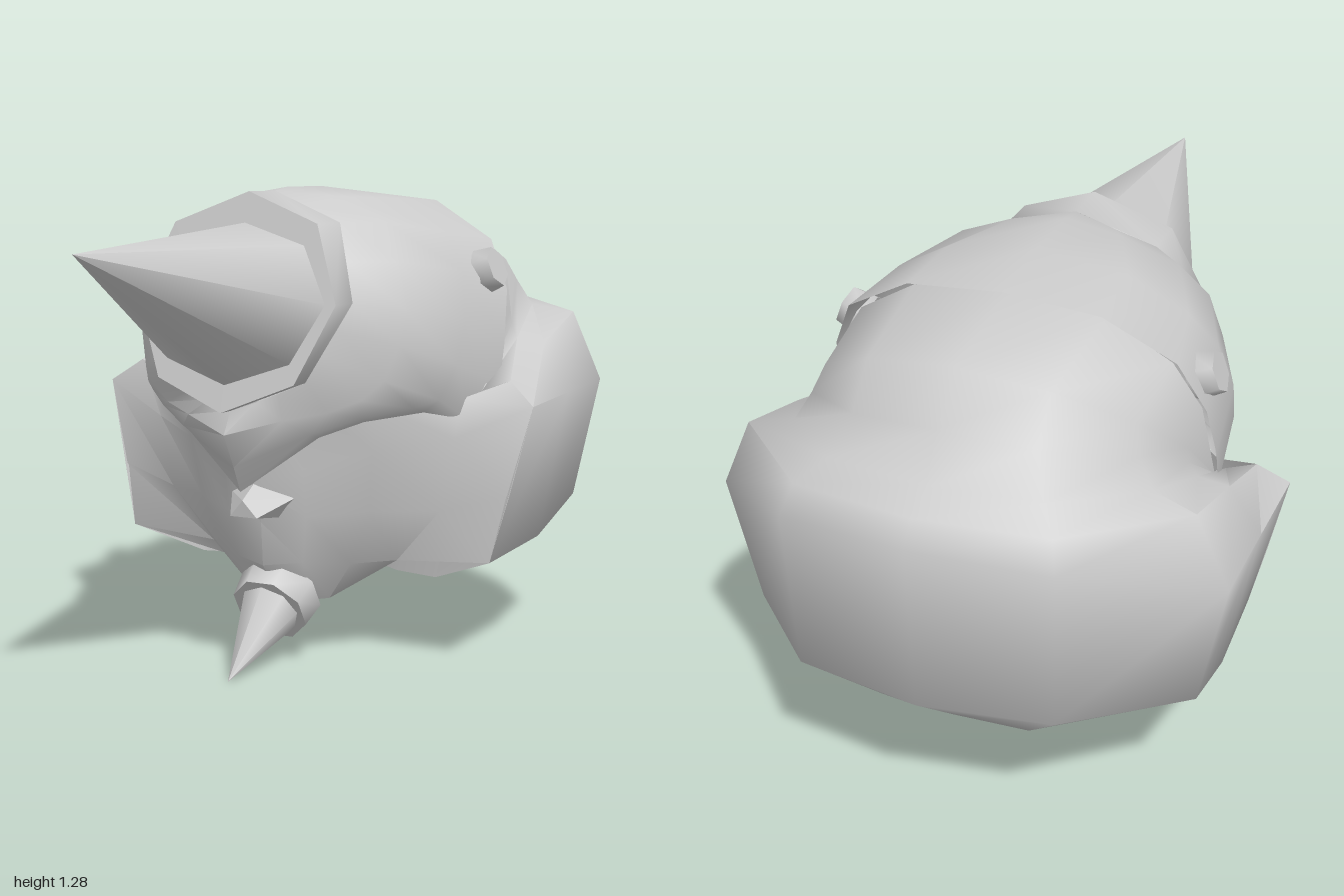
import * as THREE from 'three';
import { mergeVertices, toCreasedNormals } from 'three/addons/utils/BufferGeometryUtils.js';
import { ConvexGeometry } from 'three/addons/geometries/ConvexGeometry.js';

const material = new THREE.MeshStandardMaterial({ color: 0xcccccc, side: THREE.DoubleSide });

function addMesh(group, name, geometry) {
  const mesh = new THREE.Mesh(geometry, material);
  mesh.name = name;
  group.add(mesh);
  return mesh;
}

// Skin over rows of [x, y, z]; each row starts on the centre line and is mirrored to -x
function loft(rows, flip, crease) {
  const full = rows.map(r => [...r.slice(1).reverse().map(([x, y, z]) => [-x, y, z]), ...r]);
  const n = full[0].length, index = [];
  for (let i = 0; i < full.length - 1; i++) {
    for (let j = 0; j < n - 1; j++) {
      const a = i * n + j, b = a + n, c = b + 1, d = a + 1;
      index.push(...(flip ? [a, c, b, a, d, c] : [a, b, c, a, c, d]));
    }
  }
  const geometry = new THREE.BufferGeometry();
  geometry.setAttribute('position', new THREE.Float32BufferAttribute(full.flat(2), 3));
  geometry.setIndex(index);
  return toCreasedNormals(mergeVertices(geometry, 1e-4), crease);
}

// Give 2D outline points a depth on a plane sloping with height
const onPlane = (points, z, slope) => points.map(([x, y]) => [x, y, z + (1.28 - y) * slope]);

export function createModel() {
  const model = new THREE.Group();

  // Helmet: rings from the horn collar out to the rim with its pointed brow
  addMesh(model, 'helmet', loft([
    onPlane([[0, 1.28], [.1, 1.24], [.21, 1.2], [.25, 1.1], [.29, 1], [.26, .93], [.23, .87],
      [.2, .8], [.13, .77], [.07, .745], [0, .72]], .07, .43),
    [[0, 1.29, 0], [.15, 1.265, 0], [.3, 1.2, .02], [.365, 1.1, .08], [.4, .98, .1], [.39, .89, .12],
      [.36, .8, .15], [.31, .75, .18], [.24, .72, .23], [.14, .7, .29], [0, .66, .345]],
    [[0, 1.29, -.2], [.24, 1.258, -.2], [.39, 1.17, -.18], [.455, 1.07, -.13], [.485, .94, -.08], [.48, .83, -.04],
      [.45, .74, 0], [.4, .72, .05], [.3, .7, .16], [.19, .66, .235], [0, .57, .295]],
    [[0, 1.27, -.42], [.25, 1.25, -.42], [.43, 1.145, -.39], [.495, 1.01, -.35], [.51, .87, -.3], [.51, .76, -.27],
      [.475, .675, -.13], [.405, .705, 0], [.3, .69, .14], [.2, .65, .2], [0, .5, .26]],
  ], true, 1));

  // Octagonal collar and the big horn
  const octagon = [[0, 1.28], [.21, 1.2], [.29, 1], [.2, .8], [0, .72]];
  const hornOutline = [[0, 1.2], [.18, 1.145], [.26, 1], [.18, .85], [0, .79]];
  const hornBase = onPlane(hornOutline, .21, .27);
  addMesh(model, 'hornCollar', loft([onPlane(octagon, .07, .43), onPlane(octagon, .21, .27), hornBase], false, 1));
  addMesh(model, 'horn', loft([hornBase, hornBase.map(() => [0, 1.15, 1])], false, 1.2));

  // Hair: one skin from the helmet rim over the dome and round the thick roll.
  // Each row runs from the middle of the back to the cheek flap.
  const dome = [
    [[0, 1.255, -.38], [.25, 1.23, -.38], [.41, 1.13, -.36], [.475, 1, -.32], [.49, .76, -.23]],
    [[0, 1.21, -.7], [.23, 1.18, -.68], [.4, 1.08, -.58], [.475, .95, -.43], [.49, .75, -.21]],
    [[0, 1.1, -.8], [.23, 1.08, -.77], [.42, 1.02, -.62], [.48, .91, -.43], [.49, .74, -.19]],
    [[0, .99, -.87], [.27, .985, -.83], [.46, .95, -.64], [.5, .87, -.42], [.5, .75, -.17]],
  ];
  const roll = [
    [[0, .96, -.96], [.32, .95, -.91], [.575, .93, -.67], [.58, .86, -.42], [.58, .78, -.17]],
    [[0, .9, -1], [.34, .88, -.95], [.66, .74, -.67], [.66, .73, -.4], [.66, .72, -.13]],
    [[0, .45, -.98], [.33, .45, -.93], [.59, .4, -.66], [.58, .32, -.4], [.56, .3, -.09]],
    [[0, .27, -.78], [.2, .27, -.77], [.35, .255, -.62], [.36, .235, -.4], [.37, .225, -.17]],
    [[0, .28, -.62], [.13, .28, -.6], [.22, .28, -.52], [.25, .27, -.38], [.24, .225, -.2]],
  ];
  // The hollow under the roll shrinks its inner edge toward the neck; an end point closes the flap
  const hollow = roll[4].map(([x, y, z]) => [x * .7, y + .04, z * .6 - .02]);
  addMesh(model, 'hair', loft([...dome, ...roll, hollow].map(row => [...row, [.45, .5, -.16]]), true, 1.1));

  // Face flowing sideways into the cheek flaps and narrowing to the chin
  addMesh(model, 'face', loft([
    [[0, .73, .18], [.15, .73, .16], [.3, .72, .06], [.46, .73, -.1], [.58, .78, -.17]],
    [[0, .5, .19], [.12, .55, .14], [.28, .6, .05], [.46, .63, -.08], [.66, .72, -.13]],
    [[0, .4, .15], [.12, .42, .12], [.26, .43, .02], [.42, .43, -.08], [.605, .48, -.11]],
    [[0, .28, .14], [.1, .29, .1], [.2, .28, .01], [.29, .28, -.09], [.56, .3, -.09]],
    [[0, .17, .05], [.08, .17, .03], [.12, .17, -.02], [.2, .225, -.12], [.26, .3, -.22]],
    [[0, .17, -.05], [.04, .17, -.06], [.08, .18, -.1], [.12, .21, -.18], [.18, .31, -.32]],
    [[0, .19, -.18], [0, .19, -.18], [0, .19, -.18], [0, .21, -.25], [0, .29, -.44]],
  ], false, 0.9));

  // Small wedge nose
  const nosePoints = [[0, .51, .19], [0, .475, .25], [.1, .475, .13], [-.1, .475, .13],
    [.05, .415, .13], [-.05, .415, .13], [.04, .43, .245], [-.04, .43, .245]];
  addMesh(model, 'nose', new ConvexGeometry(nosePoints.map(p => new THREE.Vector3(...p))));

  // Short open neck socket
  const neck = addMesh(model, 'neckSocket',
    toCreasedNormals(new THREE.CylinderGeometry(.11, .11, .08, 4, 1, true, Math.PI / 4), .5));
  neck.position.set(0, .225, -.25);
  neck.rotation.x = .3;

  // Pointed beard held by a ring, both tilted forward and down
  const beard = new THREE.Group();
  beard.name = 'beard';
  beard.position.set(0, .172, .07);
  beard.quaternion.setFromUnitVectors(new THREE.Vector3(0, 1, 0), new THREE.Vector3(0, -.167, .26).normalize());
  addMesh(beard, 'beardRing',
    toCreasedNormals(new THREE.CylinderGeometry(.108, .118, .08, 8, 1, false, Math.PI / 8), 1));
  addMesh(beard, 'beardSpike', new THREE.ConeGeometry(.085, .27, 8, 1, true).translate(0, .174, 0));
  model.add(beard);

  // Hexagonal bolts on the helmet sides
  for (const side of [-1, 1]) {
    const bolt = addMesh(model, side > 0 ? 'leftBolt' : 'rightBolt',
      toCreasedNormals(new THREE.CylinderGeometry(.055, .064, .07, 6, 1, false, Math.PI / 6), 1.2));
    bolt.position.set(side * .468, 1.065, -.265);
    bolt.quaternion.setFromUnitVectors(new THREE.Vector3(0, 1, 0), new THREE.Vector3(side * .93, .34, .05).normalize());
  }
  return model;
}
